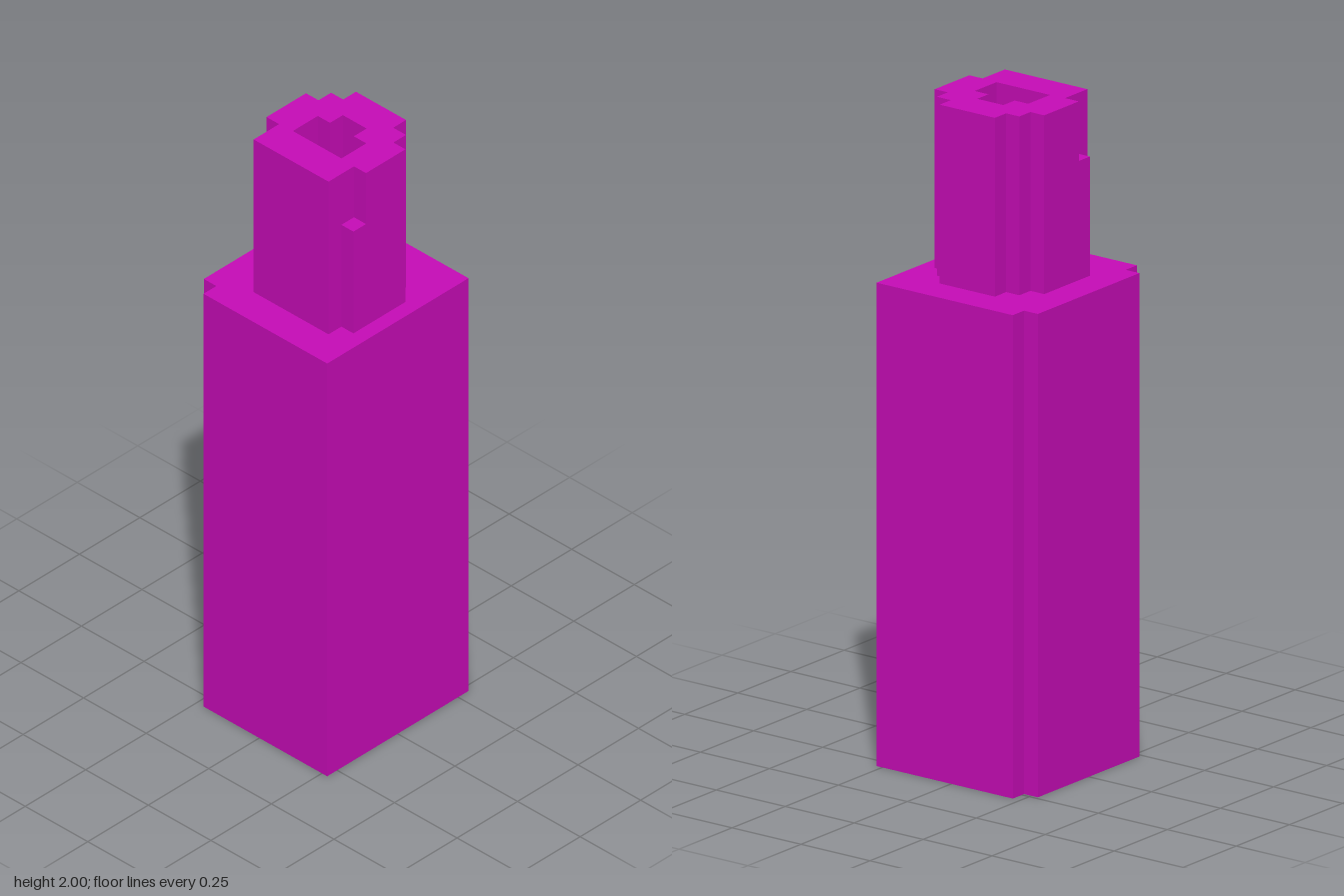
import * as THREE from 'three';

const BASE_TOP = 1.46, LUG_TOP = 1.82, TOP = 2;

// Outline points are [x, z] in plan
const outline = (points) => points.map(([x, z]) => new THREE.Vector2(x, -z));

// Upright prism over a plan outline, with an optional hole
function prism(name, points, y0, y1, material, hole) {
  const shape = new THREE.Shape(outline(points));
  if (hole) shape.holes.push(new THREE.Path(outline(hole)));
  const geometry = new THREE.ExtrudeGeometry(shape, { depth: y1 - y0, bevelEnabled: false });
  geometry.rotateX(-Math.PI / 2).translate(0, y0, 0);
  const mesh = new THREE.Mesh(geometry, material);
  mesh.name = name;
  return mesh;
}

export function createModel() {
  const model = new THREE.Group();
  model.name = 'steppedColumn';
  const magenta = new THREE.MeshStandardMaterial({ color: 0xc80cb8 });
  magenta.name = 'magenta';

  // Tall block with two notched corners on its right side
  model.add(prism('body', [
    [-0.223, 0.291], [0.271, 0.291], [0.271, -0.293], [-0.223, -0.293],
    [-0.223, -0.24], [-0.273, -0.24], [-0.273, 0.238], [-0.223, 0.238],
  ], 0, BASE_TOP, magenta));

  // Stepped hollow neck
  const bore = [
    [-0.073, 0.077], [0.121, 0.077], [0.121, -0.026], [0.071, -0.026],
    [0.071, -0.079], [-0.024, -0.079], [-0.024, -0.026], [-0.073, -0.026],
  ];
  model.add(prism('neck', [
    [-0.125, 0.185], [0.174, 0.185], [0.174, 0.08], [0.222, 0.08],
    [0.222, -0.083], [0.174, -0.083], [0.174, -0.135], [0.123, -0.135],
    [0.123, -0.188], [-0.077, -0.188], [-0.077, -0.135], [-0.125, -0.135],
    [-0.125, -0.083], [-0.175, -0.083], [-0.175, 0.08], [-0.125, 0.08],
  ], BASE_TOP, TOP, magenta, bore));

  // Shorter lugs filling the front corners of the neck
  for (const [name, x0, x1] of [['rightLug', -0.175, -0.125], ['leftLug', 0.174, 0.222]]) {
    model.add(prism(name, [[x0, 0.132], [x1, 0.132], [x1, 0.08], [x0, 0.08]],
      BASE_TOP, LUG_TOP, magenta));
  }
  return model;
}
